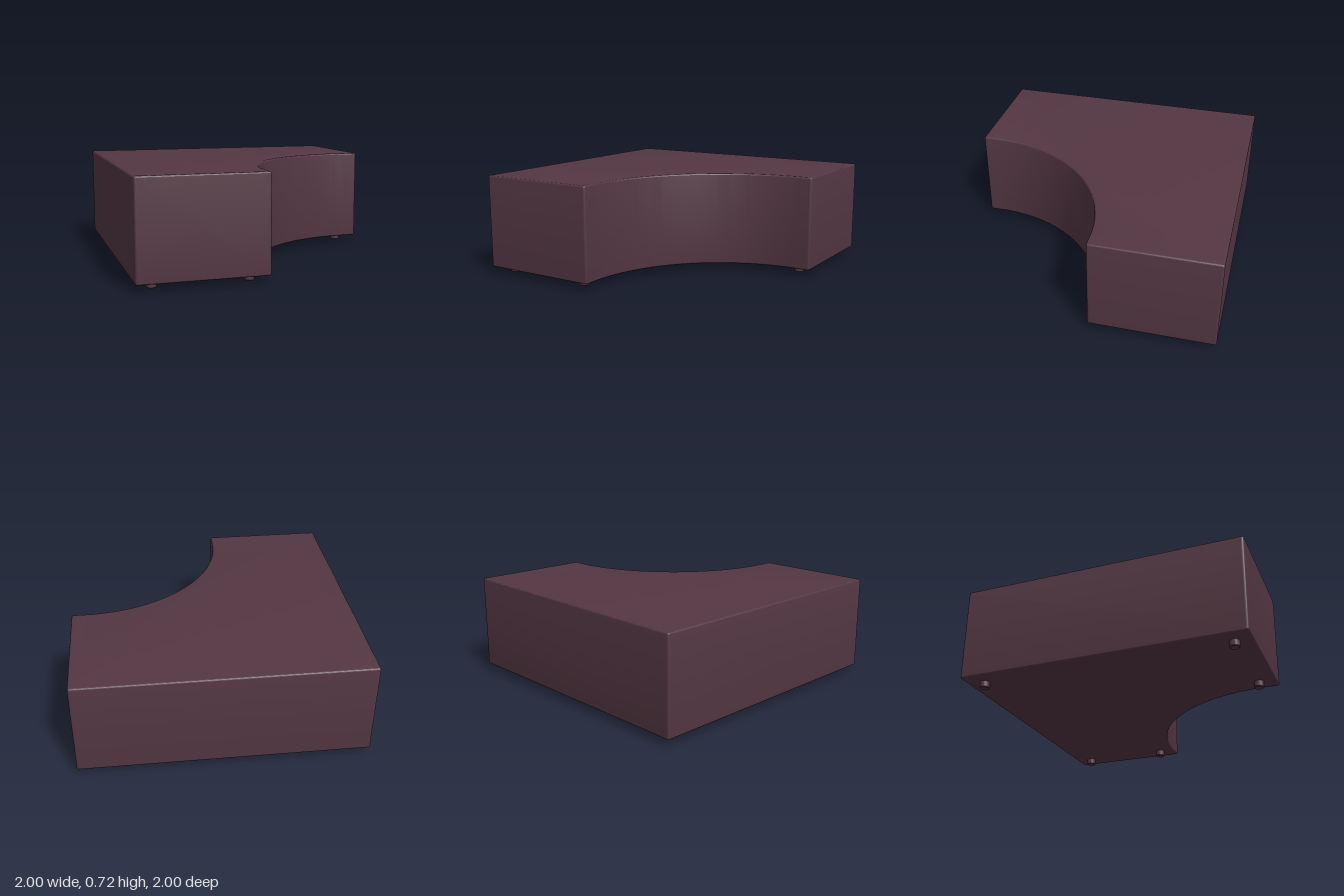
import * as THREE from 'three';
import { toCreasedNormals } from 'three/addons/utils/BufferGeometryUtils.js';

const BOTTOM = 0.045, TOP = 0.717, BEVEL = 0.014;

export function createModel() {
  const model = new THREE.Group();
  model.name = 'cornerOttoman';
  const fabric = new THREE.MeshStandardMaterial({ color: 0x543743 });
  fabric.name = 'plum fabric';

  // Plan outline in x and z: a square with a concave quarter circle cut from one corner
  const r = 0.018, inner = -0.12, centre = 0.9, radius = centre - inner;
  const plan = new THREE.Shape();
  plan.moveTo(-1 + r, -1);
  plan.lineTo(1 - r, -1);
  plan.quadraticCurveTo(1, -1, 1, -1 + r);
  plan.lineTo(1, inner - r);
  plan.quadraticCurveTo(1, inner, 1 - r, inner);
  plan.lineTo(centre, inner);
  plan.absarc(centre, centre, radius, -Math.PI / 2, -Math.PI, true);
  plan.lineTo(inner, 1 - r);
  plan.quadraticCurveTo(inner, 1, inner - r, 1);
  plan.lineTo(-1 + r, 1);
  plan.quadraticCurveTo(-1, 1, -1, 1 - r);
  plan.lineTo(-1, -1 + r);
  plan.quadraticCurveTo(-1, -1, -1 + r, -1);

  // Upholstered block with softly rounded rims
  const block = new THREE.ExtrudeGeometry(plan, {
    depth: TOP - BOTTOM - 2 * BEVEL,
    bevelEnabled: true,
    bevelThickness: BEVEL,
    bevelSize: BEVEL,
    bevelOffset: -BEVEL,
    bevelSegments: 5,
    curveSegments: 40,
  });
  block.rotateX(Math.PI / 2);
  block.translate(0, TOP - BEVEL, 0);
  const body = new THREE.Mesh(toCreasedNormals(block, 0.2), fabric);
  body.name = 'upholsteredBody';
  model.add(body);

  // Short round feet, one near each outer corner
  const footProfile = [[0, 0], [0.029, 0], [0.034, 0.005], [0.034, 0.06]]
    .map(([x, y]) => new THREE.Vector2(x, y));
  const footGeometry = toCreasedNormals(new THREE.LatheGeometry(footProfile, 24), 0.5);
  const spots = [[-0.88, -0.875], [0.875, -0.875], [0.875, -0.235], [-0.235, 0.88], [-0.88, 0.88]];
  for (const [x, z] of spots) {
    const foot = new THREE.Mesh(footGeometry, fabric);
    foot.name = 'foot';
    foot.position.set(x, 0, z);
    model.add(foot);
  }
  return model;
}
